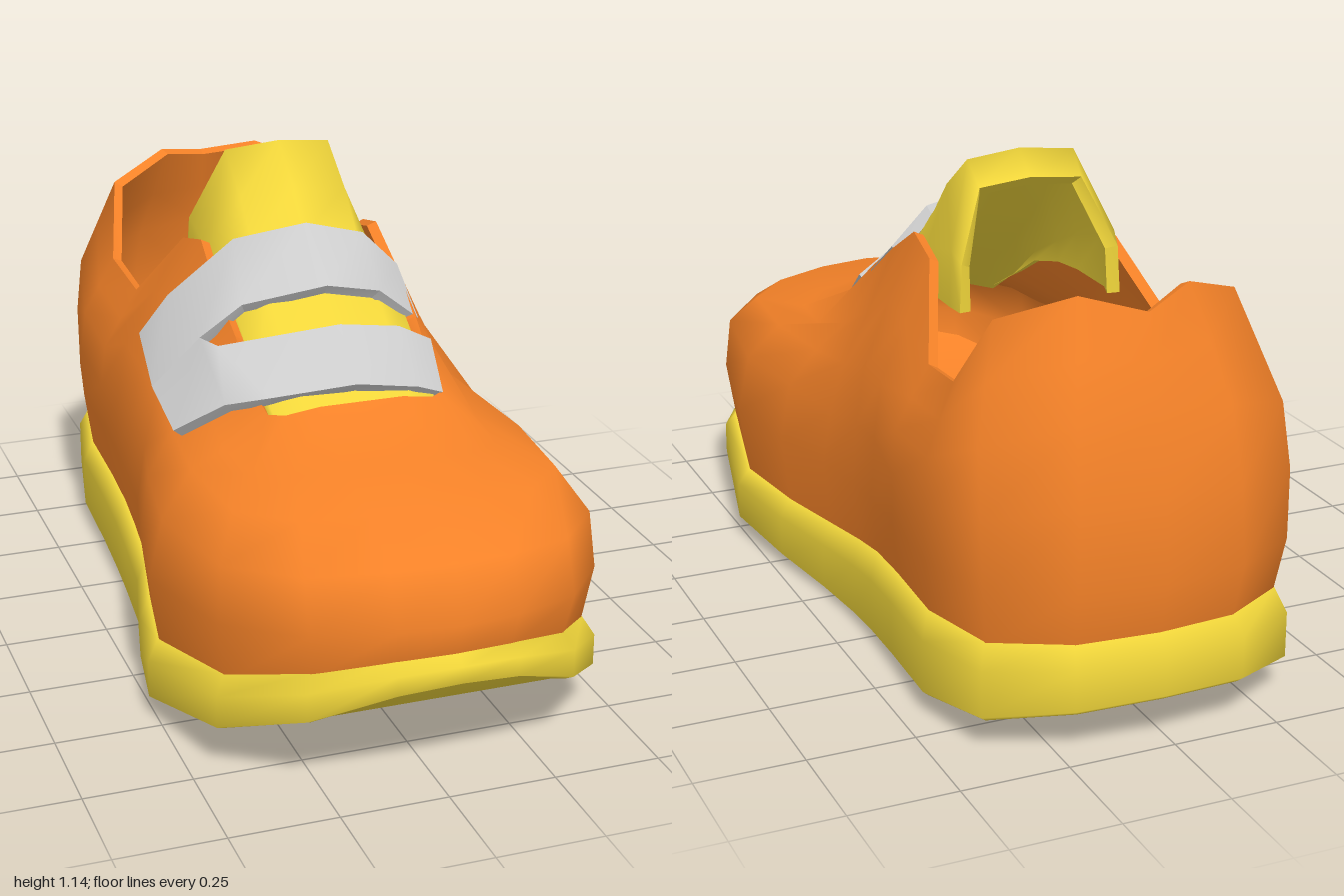
import * as THREE from 'three';

const V = (x, y, z) => new THREE.Vector3(x, y, z);
const material = (color) => new THREE.MeshStandardMaterial({ color, side: THREE.DoubleSide });

// Half outline, toe to heel: x, z, sole top y, sole bottom y
const OUTLINE = [
  [0, 1, .33, .265], [.14, .985, .325, .25], [.31, .915, .29, .18], [.45, .75, .23, .105],
  [.515, .45, .185, .036], [.475, .22, .18, .015], [.43, .02, .185, 0], [.415, -.15, .205, .002],
  [.41, -.27, .22, .006], [.41, -.42, .228, .015], [.415, -.65, .235, .03], [.37, -.87, .245, .065],
  [.2, -.975, .255, .095], [0, -1, .26, .105],
];
// Shoulder of the upper, toe to heel
const SHOULDER = [
  [0, .595, .8], [.13, .59, .79], [.27, .58, .75], [.38, .575, .64], [.4, .577, .4], [.38, .58, .17],
  [.37, .6, 0], [.37, .63, -.14], [.375, .64, -.27], [.395, .58, -.42], [.4, .6, -.64],
  [.36, .68, -.83], [.18, .73, -.92], [0, .75, -.935],
];
// Edge of the throat and collar, toe to heel
const RIM = [
  [0, .68, .38], [.1, .68, .38], [.18, .665, .37], [.21, .66, .34], [.22, .69, .28], [.225, .785, .15],
  [.23, .87, 0], [.225, .94, -.12], [.235, .91, -.24], [.31, .725, -.42], [.325, .75, -.61],
  [.285, .92, -.73], [.13, .975, -.81], [0, .945, -.88],
];
// Dip of the instep between shoulder and throat, toe to waist
const SAG = [.025, .025, .025, .03, .045, .04, .015];

// Offsets the centre line, and the flanks of the heel, slightly to the left side
const bend = (p) => {
  const flank = Math.min(1, (p.x / .5) ** 2);
  const heel = THREE.MathUtils.clamp((-.2 - p.z) / .45, 0, 1);
  p.x += .024 * (1 - flank) + .03 * heel * flank;
  return p;
};

// Full ring from a half-ring rule
function ring(rule) {
  const half = OUTLINE.map((o, k) => rule(o, k));
  const other = half.slice(1, -1).reverse().map((p) => V(-p.x, p.y, p.z));
  return [...half, ...other].map(bend);
}

// Surface over a grid of points; with a thickness it becomes a solid shell
function surface(grid, { wrap = false, thickness = 0 } = {}) {
  const R = grid.length, C = grid[0].length, cols = wrap ? C : C - 1;
  const points = grid.flat(), index = [];
  const id = (i, j) => i * C + (j % C);
  for (let i = 0; i < R - 1; i++) for (let j = 0; j < cols; j++) {
    const a = id(i, j), b = id(i, j + 1), c = id(i + 1, j + 1), d = id(i + 1, j);
    index.push(a, b, c, a, c, d);
  }
  const build = (pts) => {
    const g = new THREE.BufferGeometry().setFromPoints(pts);
    g.setIndex(index);
    g.computeVertexNormals();
    return g;
  };
  const outer = build(points);
  if (!thickness) return outer;

  // Inner face
  const n = outer.attributes.normal, count = points.length;
  const all = points.concat(points.map((p, i) =>
    p.clone().addScaledVector(V(n.getX(i), n.getY(i), n.getZ(i)), -thickness)));
  const faces = index.length;
  for (let f = 0; f < faces; f += 3) {
    index.push(index[f] + count, index[f + 2] + count, index[f + 1] + count);
  }
  // Edge faces with their own corners so they stay sharp
  const edge = (a, b) => {
    const s = all.length;
    all.push(all[a], all[b], all[b + count], all[a + count]);
    index.push(s + 1, s, s + 3, s + 1, s + 3, s + 2);
  };
  for (let j = 0; j < cols; j++) {
    edge(id(0, j), id(0, j + 1));
    edge(id(R - 1, j + 1), id(R - 1, j));
  }
  if (!wrap) for (let i = 0; i < R - 1; i++) {
    edge(id(i, C - 1), id(i + 1, C - 1));
    edge(id(i + 1, 0), id(i, 0));
  }
  return build(all);
}

export function createModel() {
  const shoe = new THREE.Group();
  shoe.name = 'shoe';
  const orange = material(0xf58228), yellow = material(0xf0d53a), grey = material(0xcccccc);
  const add = (name, geometry, mat, parent = shoe) => {
    const mesh = new THREE.Mesh(geometry, mat);
    mesh.name = name;
    parent.add(mesh);
  };

  // Rocker sole: x scale, z scale, height between bottom and top
  const soleRows = [[0, .97, 0], [.87, .97, 0], [.96, .985, .02], [1, 1, .1], [1, 1, .7], [.95, .965, 1], [0, .965, 1]];
  add('sole', surface(soleRows.map(([sx, sz, t]) =>
    ring(([x, z, top, bottom]) => V(x * sx, bottom + (top - bottom) * t, z * sz))),
  { wrap: true }), yellow);

  // Upper: rings from the sole edge over bulge, belt, shoulder and instep to the rim
  const base = ([x, z, top]) => V(x * .94, top - .015, z * .965);
  const bulge = ([x, z, top]) => V(x * .985, .36 + .4 * (top - .22), z * .994);
  const shoulder = (o, k) => V(...SHOULDER[k]);
  const rim = (o, k) => V(...RIM[k]);
  const belt = (o, k) => {
    const push = k < 6 ? 1.05 : 1.015;
    return bulge(o).lerp(shoulder(o, k), .5).multiply(V(push, push, push));
  };
  const instep = (o, k) => {
    const p = shoulder(o, k).lerp(rim(o, k), .5);
    p.y -= SAG[k] ?? 0;
    return p;
  };
  add('upper', surface([base, bulge, belt, shoulder, instep, rim].map(ring),
    { wrap: true, thickness: .025 }), orange);

  // Insole
  add('insole', surface([.93, 0].map((sx) =>
    ring(([x, z, top]) => V(x * sx, top + .025, z * .94))), { wrap: true }), orange);

  // Tongue, curling over at the top: z, y, half width, drop of the sides, backward sweep of the sides
  const tongueRows = [
    [.39, .655, .2, .03, .02], [.25, .75, .21, .06, .01], [.1, .865, .21, .1, 0],
    [-.02, .96, .21, .16, .02], [-.1, 1.05, .21, .24, .05], [-.22, 1.14, .21, .33, .08],
    [-.28, 1.085, .2, .28, .06],
  ];
  const across = [[-1, 1], [-.97, .6], [-.63, .04], [0, 0], [.63, .04], [.97, .6], [1, 1]];
  add('tongue', surface(tongueRows.map(([z, y, w, drop, sweep]) =>
    across.map(([u, d]) => bend(V(u * w, y - drop * d, z - sweep * Math.min(1, d * 1.6))))),
  { thickness: .03 }), yellow);

  // Forked strap: front and back edges of each branch, joined on the right side
  const strap = new THREE.Group();
  strap.name = 'strap';
  shoe.add(strap);
  const branch = (name, front, back) => add(name,
    surface([front, back].map((row) => row.map((p) => V(...p))), { thickness: .03 }), grey, strap);
  branch('upperStrap',
    [[-.385, .65, .06], [-.275, .77, .09], [-.18, .85, .12], [.02, .885, .15], [.15, .86, .155], [.255, .775, .14]],
    [[-.365, .72, -.12], [-.3, .82, -.09], [-.15, .96, -.04], [.02, .995, 0], [.16, .96, .01], [.25, .87, .01]]);
  branch('lowerStrap',
    [[-.38, .6, .22], [-.28, .68, .3], [-.18, .695, .33], [.02, .715, .36], [.17, .69, .36], [.24, .66, .34]],
    [[-.385, .65, .06], [-.275, .77, .09], [-.255, .775, .17], [.02, .82, .24], [.17, .795, .23], [.26, .745, .21]]);
  return shoe;
}
